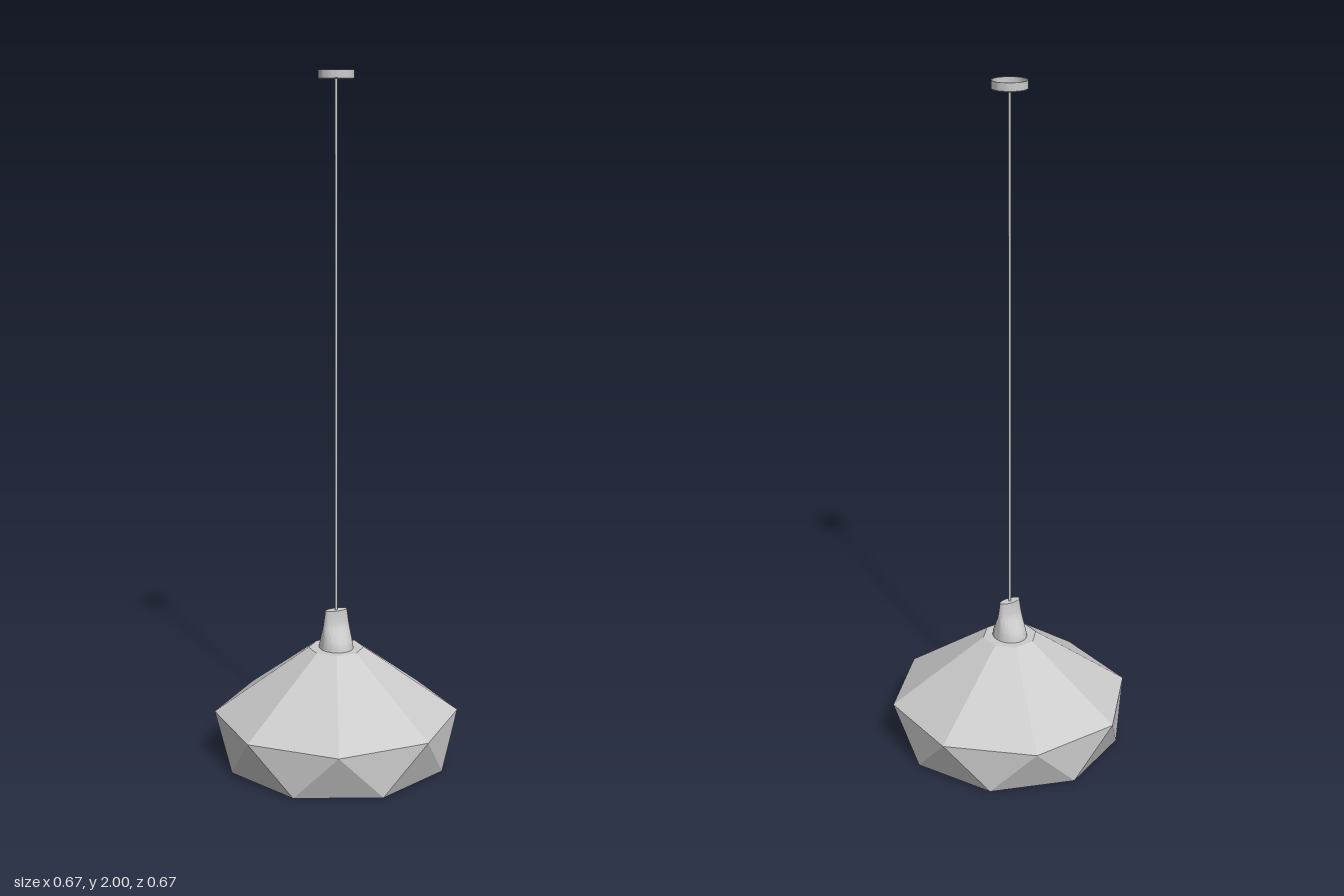
import * as THREE from 'three';
import { toCreasedNormals } from 'three/addons/utils/BufferGeometryUtils.js';

const SIDES = 8;
const STEP = (Math.PI * 2) / SIDES;

function ring(radius, y, offset) {
  return Array.from({ length: SIDES }, (_, i) => {
    const a = (i + offset) * STEP;
    return new THREE.Vector3(radius * Math.sin(a), y, radius * Math.cos(a));
  });
}

// Faceted octagonal shade: flat top, sloped panels, triangulated skirt, open below
function shadeGeometry() {
  const k = 1 / Math.cos(STEP / 2);
  const top = ring(0.075 * k, 0.34, 0.5);
  const mid = ring(0.333 * k, 0.142, 0.5);
  const low = ring(0.331, 0.002, 0);
  const centre = new THREE.Vector3(0, 0.34, 0);
  const points = [];
  for (let i = 0; i < SIDES; i++) {
    const j = (i + 1) % SIDES;
    points.push(centre, top[i], top[j]);
    points.push(mid[i], mid[j], top[j], mid[i], top[j], top[i]);
    points.push(low[i], low[j], mid[i]);
    points.push(mid[i], low[j], mid[j]);
  }
  const g = new THREE.BufferGeometry().setFromPoints(points);
  g.computeVertexNormals();
  return g;
}

// Cable grip: round base pinched front and back into a narrow top
function gripGeometry() {
  const height = 0.117;
  const g = new THREE.CylinderGeometry(1, 1, height, 40, 14);
  const depth = new THREE.SplineCurve([
    [0, 0.056], [0.2, 0.05], [0.45, 0.036], [0.7, 0.022], [0.88, 0.017], [1, 0.015],
  ].map(([t, r]) => new THREE.Vector2(t, r)));
  const p = g.attributes.position;
  for (let i = 0; i < p.count; i++) {
    const t = p.getY(i) / height + 0.5;
    p.setX(i, p.getX(i) * THREE.MathUtils.lerp(0.05, 0.034, t));
    p.setZ(i, p.getZ(i) * depth.getPoint(t).y);
  }
  g.translate(0, 0.338 + height / 2, 0);
  return toCreasedNormals(g, 0.7);
}

// Shallow ceiling cup, open at the top
function cupGeometry() {
  const profile = [
    [0, 1.975], [0.047, 1.975], [0.05, 1.978], [0.05, 2],
    [0.047, 2], [0.047, 1.981], [0, 1.981],
  ].map(([r, y]) => new THREE.Vector2(r, y));
  return toCreasedNormals(new THREE.LatheGeometry(profile, 40), 0.6);
}

export function createModel() {
  const group = new THREE.Group();
  const smooth = new THREE.MeshStandardMaterial({ color: 0xcccccc });
  const faceted = new THREE.MeshStandardMaterial({
    color: 0xcccccc, flatShading: true, side: THREE.DoubleSide,
  });

  const add = (name, geometry, material) => {
    const mesh = new THREE.Mesh(geometry, material);
    mesh.name = name;
    group.add(mesh);
  };

  add('shade', shadeGeometry(), faceted);
  add('cableGrip', gripGeometry(), smooth);
  add('ceilingCup', cupGeometry(), smooth);

  // Cable from the grip to the ceiling cup
  const cable = new THREE.CylinderGeometry(0.004, 0.004, 1.54, 12);
  cable.translate(0, 0.44 + 0.77, 0);
  add('cable', cable, smooth);

  return group;
}
